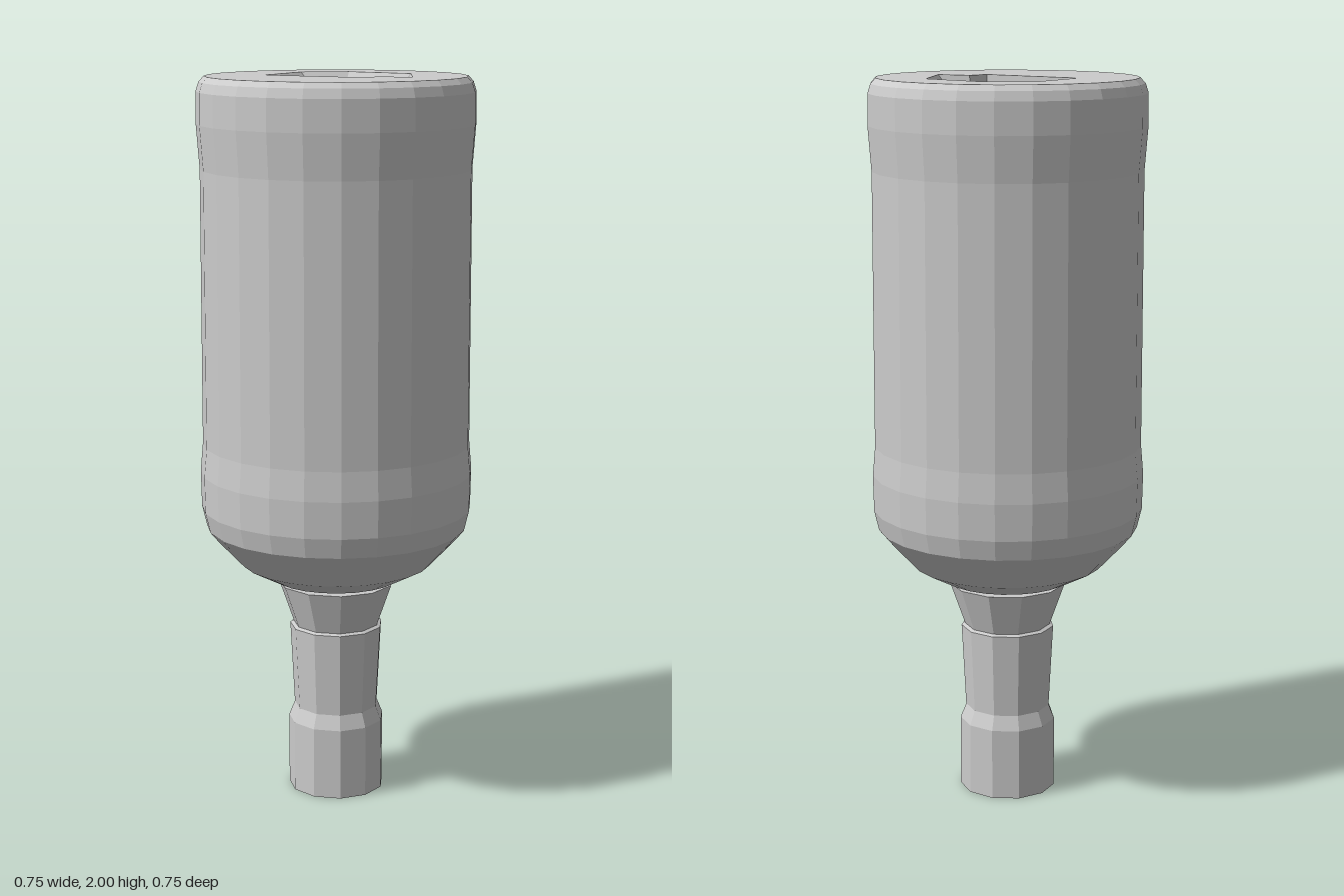
import * as THREE from 'three';

const material = new THREE.MeshStandardMaterial({ color: 0xcccccc, flatShading: true, side: THREE.DoubleSide });

function part(name, geometry) {
  const mesh = new THREE.Mesh(geometry, material);
  mesh.name = name;
  return mesh;
}

function lathe(name, profile, sides) {
  return part(name, new THREE.LatheGeometry(profile.map(([r, y]) => new THREE.Vector2(r, y)), sides));
}

// Horizontal plate from [x, z] corners, facing up, with an optional hole
function plate(name, outline, y, hole) {
  const points = (loop) => loop.map(([x, z]) => new THREE.Vector2(x, -z));
  const shape = new THREE.Shape(points(outline));
  if (hole) shape.holes.push(new THREE.Path(points(hole)));
  return part(name, new THREE.ShapeGeometry(shape).rotateX(-Math.PI / 2).translate(0, y, 0));
}

// Wall joining an upper loop to a lower loop, facing inward
function wall(name, upper, top, lower, bottom) {
  const pos = [];
  const n = upper.length;
  for (let i = 0; i < n; i++) {
    const j = (i + 1) % n;
    const a = [upper[i][0], top, upper[i][1]];
    const b = [upper[j][0], top, upper[j][1]];
    const c = [lower[j][0], bottom, lower[j][1]];
    const d = [lower[i][0], bottom, lower[i][1]];
    pos.push(...a, ...b, ...c, ...a, ...c, ...d);
  }
  const geometry = new THREE.BufferGeometry();
  geometry.setAttribute('position', new THREE.Float32BufferAttribute(pos, 3));
  geometry.computeVertexNormals();
  return part(name, geometry);
}

export function createModel() {
  const bottle = new THREE.Group();
  bottle.name = 'upturnedBottle';
  const sides = 24;
  const rimY = 1.995;
  const rimRadius = 0.352;

  // Mouth, slim neck and flared collar
  bottle.add(lathe('neck', [
    [0, 0], [0.134, 0], [0.134, 0.2], [0.118, 0.24], [0.13, 0.475],
    [0.12, 0.48], [0.162, 0.6], [0, 0.6],
  ], 11));

  // Rounded shoulder, straight wall and thick base rim
  bottle.add(lathe('body', [
    [0, 0.615], [0.18, 0.615], [0.265, 0.66], [0.335, 0.735], [0.36, 0.765],
    [0.373, 0.82], [0.375, 0.92], [0.368, 1], [0.366, 1.75], [0.375, 1.87],
    [0.374, 1.955], [0.366, 1.98], [rimRadius, rimY],
  ], sides));

  // Base with an irregular sunken recess
  const rim = [];
  for (let i = 0; i < sides; i++) {
    const a = (i / sides) * Math.PI * 2;
    rim.push([rimRadius * Math.sin(a), rimRadius * Math.cos(a)]);
  }
  const opening = [[-0.185, 0.06], [-0.185, -0.14], [-0.075, -0.215], [0.125, -0.195],
    [0.215, -0.02], [0.125, 0], [0.11, 0.06]];
  const floor = [[-0.07, 0.058], [-0.07, -0.11], [-0.065, -0.13], [0.115, -0.12],
    [0.12, -0.02], [0.115, 0], [0.108, 0.058]];
  const floorY = 1.87;
  bottle.add(plate('baseRim', rim, rimY, opening));
  bottle.add(wall('recessWall', opening, rimY, floor, floorY));
  bottle.add(plate('recessFloor', floor, floorY));

  // Narrow ledge at the back of the recess
  bottle.add(plate('recessLedge', [[-0.12, -0.11], [0.125, -0.105], [0.115, -0.14], [-0.075, -0.15]], 1.925));

  return bottle;
}
